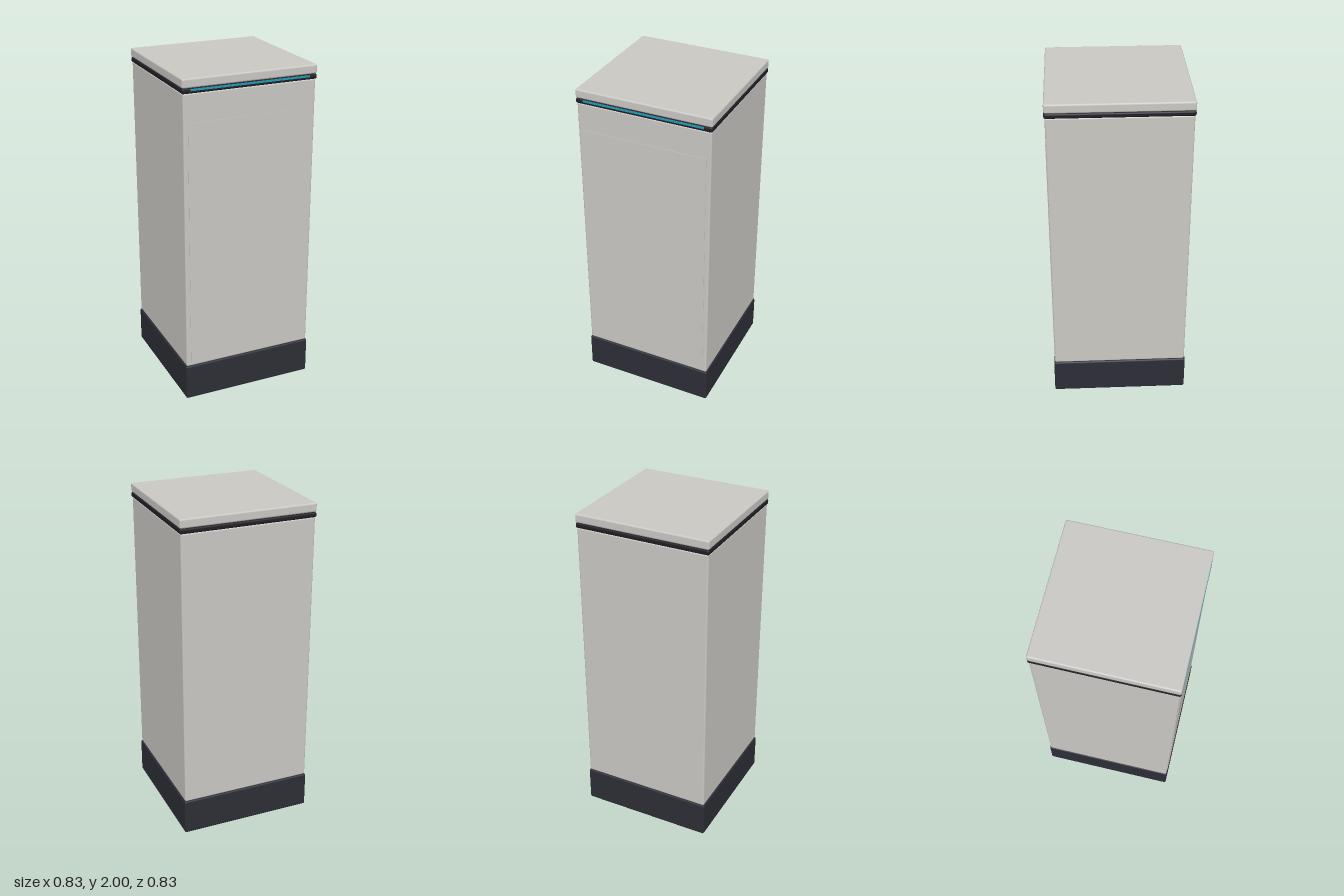
import * as THREE from 'three';
import { RoundedBoxGeometry } from 'three/addons/geometries/RoundedBoxGeometry.js';

const material = (name, color) => {
  const m = new THREE.MeshStandardMaterial({ color });
  m.name = name;
  return m;
};

export function createModel() {
  const group = new THREE.Group();
  const shell = material('warm grey shell', 0xcac8c3);
  const plinth = material('charcoal plinth', 0x2d2d36);
  const black = material('black trim', 0x1f1f25);
  const teal = material('teal light', 0x1f9bb5);

  // Square slab with softened edges, spanning bottom..top
  const slab = (name, mat, width, bottom, top, radius) => {
    const mesh = new THREE.Mesh(
      new RoundedBoxGeometry(width, top - bottom, width, 2, radius), mat);
    mesh.name = name;
    mesh.position.y = (bottom + top) / 2;
    group.add(mesh);
  };

  // Thin plate on the front
  const plate = (name, mat, width, bottom, top, depth, z) => {
    const mesh = new THREE.Mesh(
      new THREE.BoxGeometry(width, top - bottom, depth), mat);
    mesh.name = name;
    mesh.position.set(0, (bottom + top) / 2, z);
    group.add(mesh);
  };

  // Stacked column: plinth, body, trim ring, lid
  slab('base', plinth, 0.826, 0, 0.222, 0.01);
  slab('body', shell, 0.815, 0.222, 1.917, 0.01);
  slab('trimBand', black, 0.826, 1.915, 1.945, 0.01);
  slab('lid', shell, 0.826, 1.946, 2, 0.01);

  // Front details: nearly flush door and light strip
  plate('frontPanel', shell, 0.76, 0.25, 1.75, 0.006, 0.407);
  plate('lightStrip', teal, 0.73, 1.930, 1.941, 0.008, 0.411);

  return group;
}
